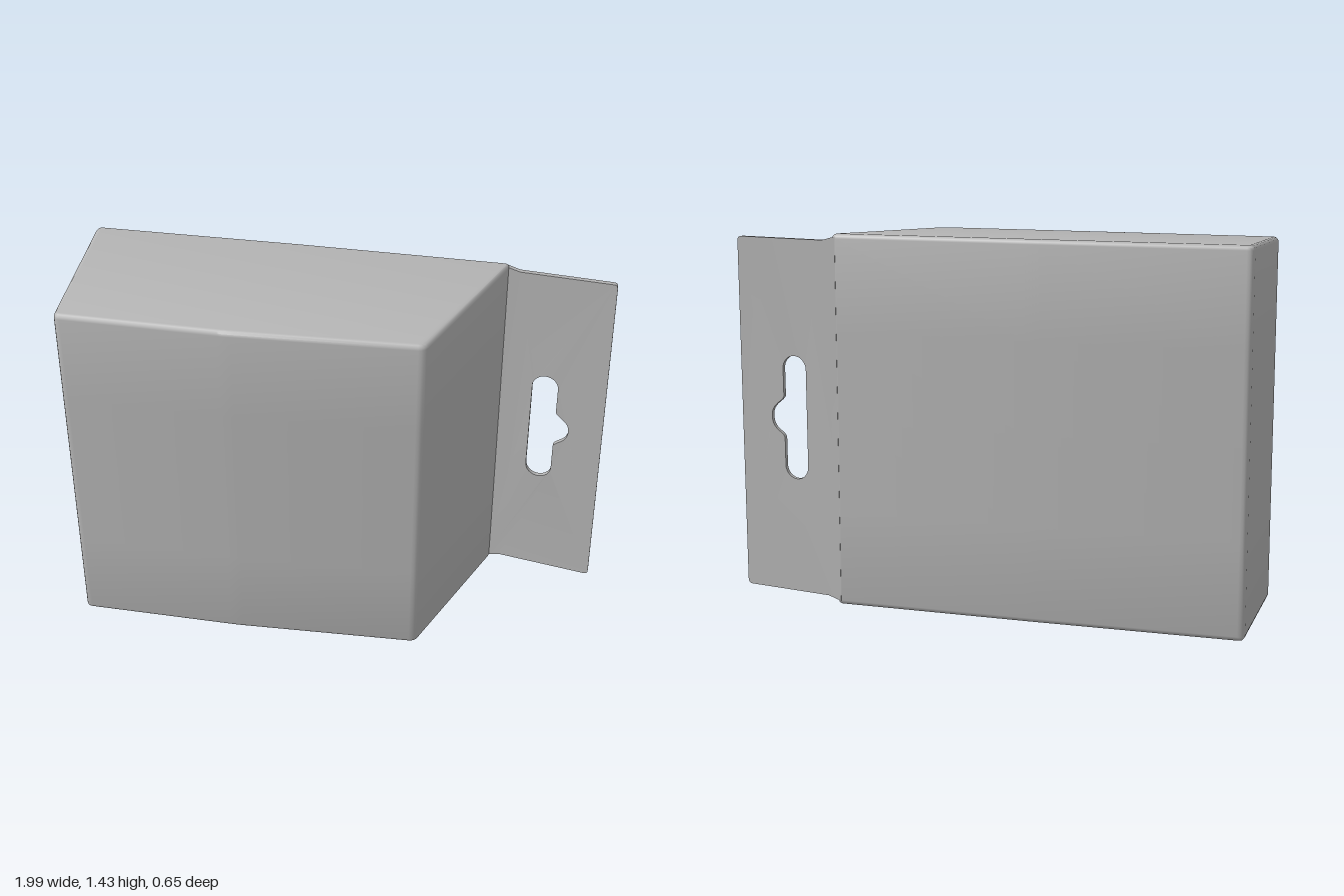
import * as THREE from 'three';
import { toCreasedNormals } from 'three/addons/utils/BufferGeometryUtils.js';

const HEIGHT = 1.43;

// Moves every vertex of a geometry by a rule
function deform(geometry, rule) {
  const p = geometry.attributes.position;
  const v = new THREE.Vector3();
  for (let i = 0; i < p.count; i++) {
    rule(v.fromBufferAttribute(p, i));
    p.setXYZ(i, v.x, v.y, v.z);
  }
  return geometry;
}

// Closed shape with softly rounded corners
function roundedShape(corners, radius) {
  const pts = corners.map(([x, y]) => new THREE.Vector2(x, y));
  const shape = new THREE.Shape();
  pts.forEach((c, i) => {
    const toward = (o) => c.clone().add(o.clone().sub(c).setLength(radius));
    const a = toward(pts[(i + pts.length - 1) % pts.length]);
    const b = toward(pts[(i + 1) % pts.length]);
    if (i === 0) shape.moveTo(a.x, a.y);
    else shape.lineTo(a.x, a.y);
    shape.quadraticCurveTo(c.x, c.y, b.x, b.y);
  });
  shape.closePath();
  return shape;
}

// Carton: floor plan given as [x, -z], extruded upwards with worn edges
function makeCarton() {
  const plan = roundedShape([
    [-0.975, -0.325], [-0.35, -0.312], [0.36, -0.262],
    [0.585, 0.328], [-0.2, 0.307], [-0.997, 0.275],
  ], 0.025);
  const bevel = 0.018;
  const geometry = new THREE.ExtrudeGeometry(plan, {
    depth: HEIGHT - 2 * bevel, curveSegments: 4, steps: 4,
    bevelThickness: bevel, bevelSize: bevel, bevelOffset: -bevel, bevelSegments: 3,
  });
  geometry.rotateX(-Math.PI / 2).translate(0, bevel, 0);
  // The lid dips slightly towards the front
  deform(geometry, (v) => {
    if (v.y > HEIGHT / 2) v.y -= 0.02 * Math.max(0, v.z) / 0.32;
  });
  return toCreasedNormals(geometry, 0.6);
}

// Hanging tab: thin card with a slot, leaning forwards at its free edge
function makeTab() {
  const card = new THREE.Shape();
  card.moveTo(0.565, 0.015);
  card.lineTo(0.62, 0.03);
  card.lineTo(0.975, 0.03);
  card.quadraticCurveTo(0.992, 0.03, 0.992, 0.05);
  card.lineTo(0.982, 1.39);
  card.quadraticCurveTo(0.982, 1.408, 0.965, 1.408);
  card.lineTo(0.62, 1.405);
  card.lineTo(0.565, 1.42);
  card.closePath();

  // Rounded slot with a side notch
  const slot = new THREE.Path();
  slot.moveTo(0.70, 0.53);
  slot.lineTo(0.70, 0.91);
  slot.absarc(0.75, 0.91, 0.05, Math.PI, 0, true);
  slot.lineTo(0.80, 0.80);
  slot.bezierCurveTo(0.81, 0.775, 0.855, 0.77, 0.855, 0.72);
  slot.bezierCurveTo(0.855, 0.665, 0.81, 0.665, 0.80, 0.64);
  slot.lineTo(0.80, 0.53);
  slot.absarc(0.75, 0.53, 0.05, 0, -Math.PI, true);
  card.holes.push(slot);

  const geometry = new THREE.ExtrudeGeometry(card, {
    depth: 0.018, bevelEnabled: false, curveSegments: 8,
  });
  deform(geometry, (v) => {
    const out = (v.x - 0.565) / 0.42;
    v.z += -0.328 + out * (0.028 + 0.03 * (1 - v.y / HEIGHT));
  });
  return toCreasedNormals(geometry, 0.6);
}

export function createModel() {
  const cardboard = new THREE.MeshStandardMaterial({ color: 0xb4b4b4 });
  cardboard.name = 'grey cardboard';

  const model = new THREE.Group();
  model.name = 'hangingCarton';
  const parts = { carton: makeCarton(), hangingTab: makeTab() };
  for (const [name, geometry] of Object.entries(parts)) {
    const mesh = new THREE.Mesh(geometry, cardboard);
    mesh.name = name;
    model.add(mesh);
  }
  return model;
}
